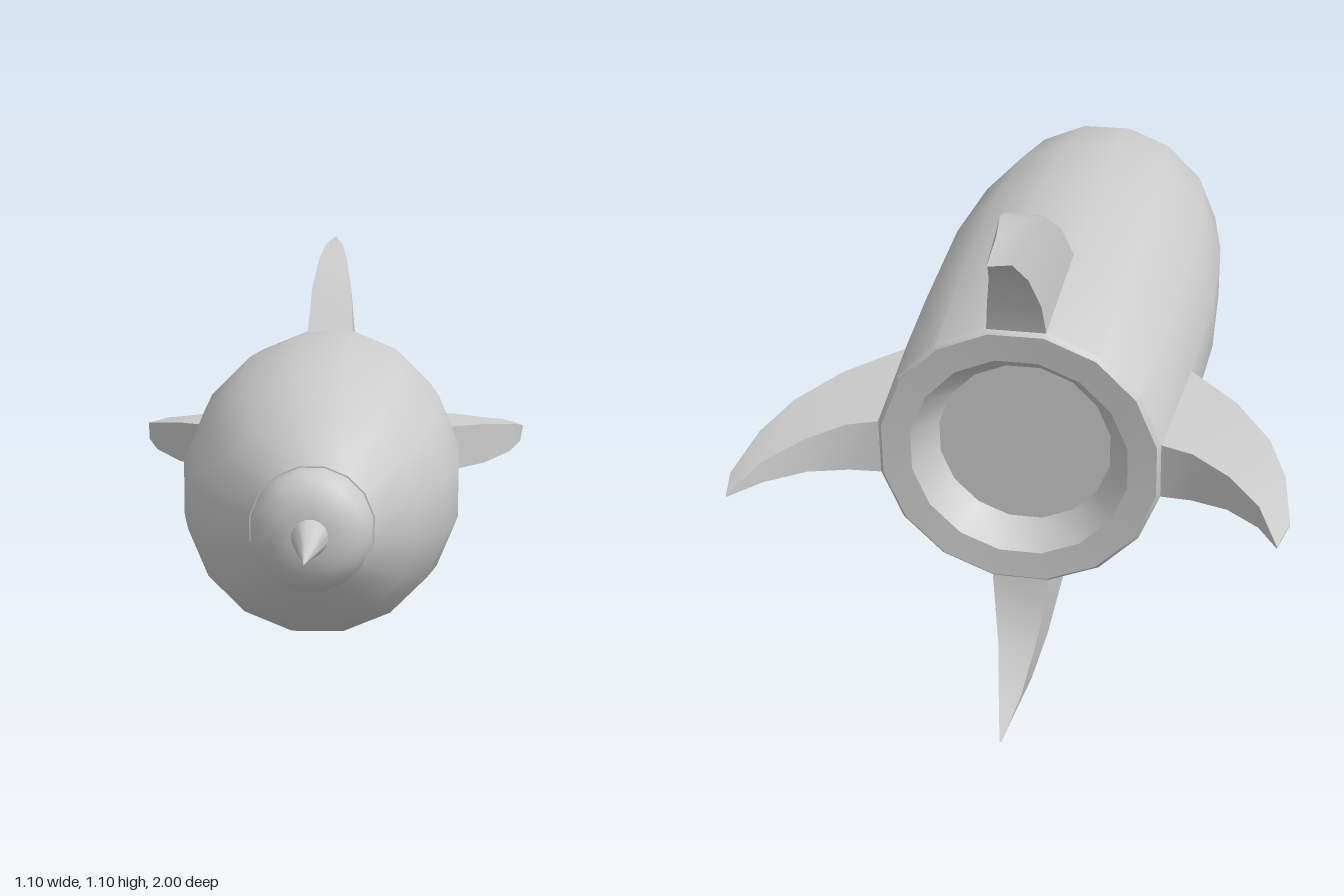
import * as THREE from 'three';
import { toCreasedNormals } from 'three/addons/utils/BufferGeometryUtils.js';

const SIDES = 16;
const CREASE = 0.66;
const material = new THREE.MeshStandardMaterial({ color: 0xcccccc });

// Surface of revolution around z from [radius, z] points, flats facing up and sideways
function turned(name, profile) {
  const points = profile.map(([r, z]) => new THREE.Vector2(r, z));
  const geometry = new THREE.LatheGeometry(points, SIDES, Math.PI / SIDES);
  geometry.rotateX(Math.PI / 2);
  const mesh = new THREE.Mesh(toCreasedNormals(geometry, CREASE), material);
  mesh.name = name;
  return mesh;
}

// Swept fin: rectangular sections from root to tip
function finGeometry() {
  // [leading z, leading height, trailing z, trailing height, half thickness]
  const stations = [
    [-0.45, 0.305, -0.77, 0.28, 0.06],
    [-0.57, 0.42, -0.785, 0.35, 0.053],
    [-0.68, 0.495, -0.83, 0.425, 0.038],
    [-0.79, 0.533, -0.905, 0.49, 0.023],
    [-0.92, 0.55, -1.0, 0.53, 0.002],
  ];
  const positions = [];
  const index = [];
  stations.forEach(([lz, ly, tz, ty, w], s) => {
    positions.push(w, ly, lz, -w, ly, lz, -w, ty, tz, w, ty, tz);
    if (s === 0) return;
    const a = (s - 1) * 4, b = s * 4;
    for (let j = 0; j < 4; j++) {
      const k = (j + 1) % 4;
      index.push(a + j, b + j, b + k, a + j, b + k, a + k);
    }
  });
  const t = (stations.length - 1) * 4;
  index.push(t, t + 3, t + 2, t, t + 2, t + 1);
  const geometry = new THREE.BufferGeometry();
  geometry.setAttribute('position', new THREE.Float32BufferAttribute(positions, 3));
  geometry.setIndex(index);
  return toCreasedNormals(geometry, CREASE);
}

export function createModel() {
  const model = new THREE.Group();
  model.name = 'rocket';

  // Hull with the recessed nozzle at its rear
  model.add(turned('hull', [
    [0, -0.71], [0.18, -0.71], [0.225, -0.775], [0.285, -0.78],
    [0.294, -0.77], [0.319, -0.45], [0.334, -0.1], [0.322, 0.18],
    [0.289, 0.385], [0.223, 0.55], [0.13, 0.65], [0, 0.65],
  ]));

  // Rounded nose cap
  model.add(turned('noseCap', [
    [0.125, 0.63], [0.127, 0.65], [0.124, 0.69], [0.108, 0.72],
    [0.08, 0.742], [0.04, 0.75], [0, 0.75],
  ]));

  // Spike at the tip
  model.add(turned('noseSpike', [[0.038, 0.745], [0.019, 0.8725], [0, 1]]));

  // Four fins around the tail
  const fin = finGeometry();
  ['topFin', 'leftFin', 'bottomFin', 'rightFin'].forEach((name, i) => {
    const mesh = new THREE.Mesh(fin, material);
    mesh.name = name;
    mesh.rotation.z = -i * Math.PI / 2;
    model.add(mesh);
  });

  model.children.forEach((part) => { part.position.y = 0.55; });
  return model;
}
